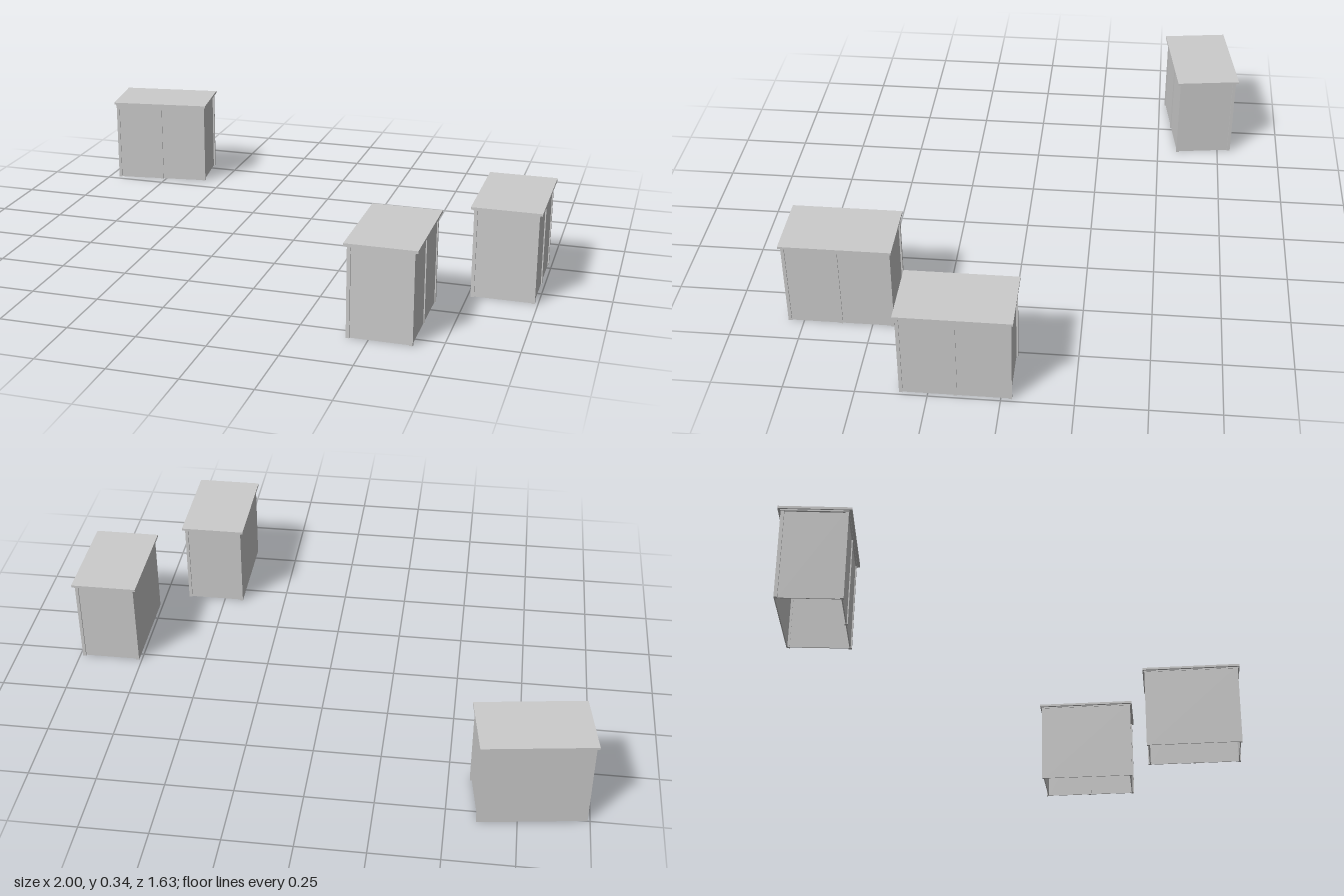
import * as THREE from 'three';

const material = new THREE.MeshStandardMaterial({ color: 0xcccccc, flatShading: true });

// Shed size: overall wall outline, wall height, roof slab
const W = 0.386, D = 0.228, H = 0.328, POST = 0.012, PANEL = 0.004;

function box(parent, name, w, h, d, x, y, z) {
  const mesh = new THREE.Mesh(new THREE.BoxGeometry(w, h, d), material);
  mesh.name = name;
  mesh.position.set(x, y, z);
  parent.add(mesh);
}

// One shed, long front towards +z, open underneath
function createShed(name, x, z, turn) {
  const shed = new THREE.Group();
  shed.name = name;
  const px = (W - POST) / 2, pz = (D - POST) / 2;

  // Overhanging flat roof on a thin top rail
  box(shed, 'roof', 0.4, 0.009, 0.25, 0, 0.3355, 0);
  box(shed, 'topRail', W + 0.004, 0.005, D + 0.004, 0, 0.3285, 0);

  for (const s of [-1, 1]) {
    // Corner posts and recessed end walls
    for (const t of [-1, 1]) box(shed, 'cornerPost', POST, H, POST, s * px, H / 2, t * pz);
    box(shed, 'endWall', PANEL, H, D - 2 * POST, s * (W / 2 - 0.008), H / 2, 0);
    // Two front panels either side of the middle post
    const w = (W - 3 * POST) / 2;
    box(shed, 'frontPanel', w, H, PANEL, s * (w + POST) / 2, H / 2, D / 2 - 0.006);
  }
  box(shed, 'middlePost', POST, H, POST, 0, H / 2, pz);
  // Plain back wall flush with the posts
  box(shed, 'backWall', W - 2 * POST, H, PANEL, 0, H / 2, -D / 2 + PANEL / 2);

  shed.position.set(x, 0, z);
  shed.rotation.y = turn;
  return shed;
}

export function createModel() {
  const model = new THREE.Group();
  model.name = 'sheds';
  model.add(
    createShed('turnedShed', -0.784, -0.663, 0.144),
    createShed('outerShed', 0.875, 0.155, Math.PI / 2),
    createShed('frontShed', 0.538, 0.614, Math.PI / 2)
  );
  return model;
}
